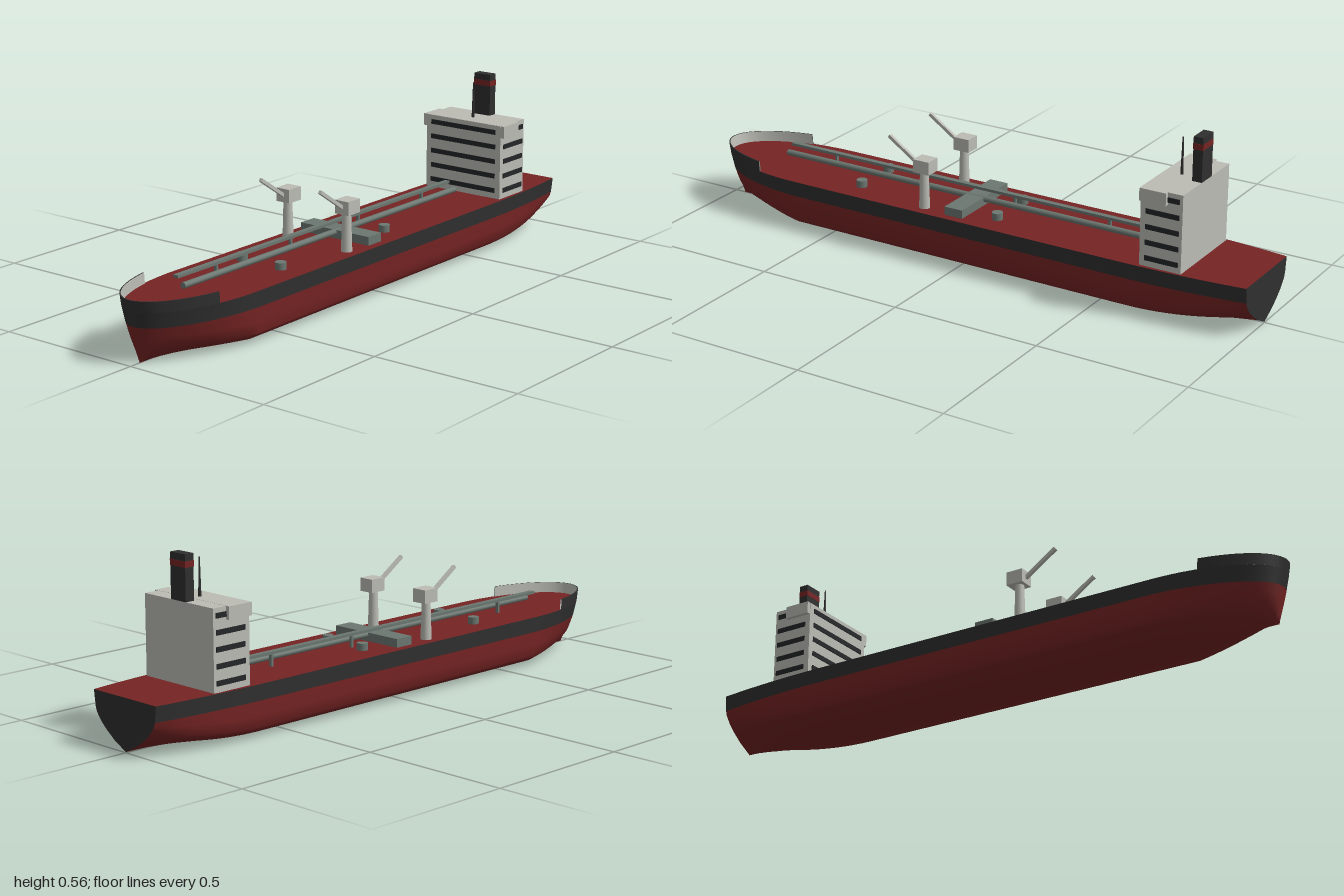
import * as THREE from 'three';
import { toCreasedNormals } from 'three/addons/utils/BufferGeometryUtils.js';

const mat = (name, color, side = THREE.FrontSide) => {
  const m = new THREE.MeshStandardMaterial({ color, side });
  m.name = name;
  return m;
};
const BEAM = 0.165, DECK = 0.165, RAIL = 0.2, BOW = 0.37;
const clamp = (v) => Math.min(1, Math.max(0, v));
const lerp = THREE.MathUtils.lerp;

// Half sections from keel to deck edge, as [half width, height]
const MID = [[0, 0], [0.07, 0.004], [0.135, 0.012], [0.152, 0.022], [0.163, 0.034], [0.165, 0.07], [0.165, 0.115], [0.165, DECK]];
const STERN = [[0, 0.002], [0.05, 0.028], [0.085, 0.053], [0.108, 0.073], [0.122, 0.09], [0.129, 0.1], [0.134, 0.115], [0.14, DECK]];
const STEM = [[0, 0], [0.03, 0.01], [0.06, 0.026], [0.085, 0.044], [0.11, 0.064], [0.13, 0.088], [0.148, 0.115], [0.165, DECK]];

// Raked stem: lower points move aft near the bow
const rake = (s, y) => s + 0.038 * (1 - y / RAIL) * clamp((BOW - 1 - s) / BOW);

function halfSection(s) {
  const bow = clamp((BOW - 1 - s) / BOW);
  const stern = clamp((s - 0.6) / 0.4) ** 2;
  const plan = Math.sqrt(Math.max(0, 1 - bow * bow));
  return MID.map(([w, y], i) => {
    const end = bow > 0 ? STEM[i] : STERN[i];
    const t = bow > 0 ? bow : stern;
    const h = lerp(y, end[1], t);
    return [rake(s, h), h, lerp(w, end[0], t) * plan];
  });
}

// Skin a list of sections, each a row of [x, y, z] points
function loft(sections, crease = 0.7) {
  const n = sections[0].length, index = [];
  for (let i = 0; i < sections.length - 1; i++) {
    for (let j = 0; j < n - 1; j++) {
      const a = i * n + j, b = a + n;
      index.push(a, b, b + 1, a, b + 1, a + 1);
    }
  }
  const g = new THREE.BufferGeometry();
  g.setAttribute('position', new THREE.Float32BufferAttribute(sections.flat(2), 3));
  g.setIndex(index);
  g.computeVertexNormals();
  return toCreasedNormals(g, crease);
}

export function createModel() {
  const red = mat('hull red', 0x752323);
  const dark = mat('charcoal', 0x2f2f2f);
  const darkSheet = mat('charcoal plate', 0x2f2f2f, THREE.DoubleSide);
  const white = mat('off white', 0xbcbcb5);
  const whiteSheet = mat('off white plate', 0xbcbcb5, THREE.DoubleSide);
  const green = mat('deck fitting grey', 0x6c7771);
  const glass = mat('window dark', 0x242628);

  const ship = new THREE.Group();
  ship.name = 'tankerShip';
  const add = (name, geometry, material, x = 0, y = 0, z = 0, parent = ship) => {
    const m = new THREE.Mesh(geometry, material);
    m.name = name;
    m.position.set(x, y, z);
    parent.add(m);
    return m;
  };
  // Box given by its limits on each axis
  const box = (name, material, x0, x1, y0, y1, z0, z1, parent) =>
    add(name, new THREE.BoxGeometry(x1 - x0, y1 - y0, z1 - z0), material,
      (x0 + x1) / 2, (y0 + y1) / 2, (z0 + z1) / 2, parent);

  // Hull stations from bow to stern
  const stations = [];
  for (let i = 0; i <= 20; i++) stations.push(-1 + BOW * (1 - Math.cos((i / 20) * Math.PI / 2)));
  for (let i = 0; i <= 12; i++) stations.push(0.6 + 0.4 * i / 12);
  const halves = stations.map(halfSection);
  const mirror = (p) => p.map(([x, y, z]) => [x, y, -z]).reverse();

  // Red bottom, dark topsides and deck
  add('hullBottom', loft(halves.map((h) => [...mirror(h.slice(1, 7)), ...h.slice(0, 7)])), red);
  add('topsideLeft', loft(halves.map((h) => h.slice(6))), dark);
  add('topsideRight', loft(halves.map((h) => mirror(h.slice(6)))), dark);
  add('deck', loft(halves.map((h) => [h[7], mirror([h[7]])[0]])), red);

  // Flat transom
  const last = halves[halves.length - 1];
  const outline = [...mirror(last.slice(1)), ...last];
  add('transom', loft([outline, outline.map(([x, , z]) => [x, DECK, z])].reverse().map((r) => r.slice().reverse()).reverse()), darkSheet);

  // Bulwark swept round the bow, with a pale inner face
  const outer = [], inner = [], reach = Math.acos(1 - 0.22 / BOW);
  for (let i = 0; i <= 32; i++) {
    const a = lerp(reach, -reach, i / 32);
    const point = (y, inset) => [
      rake(BOW - 1 - BOW * Math.cos(a), y) + inset * Math.cos(a), y, (BEAM - inset) * Math.sin(a)];
    outer.push([point(DECK, 0), point(RAIL, 0), point(RAIL, 0.004)]);
    inner.push([point(RAIL, 0.004), point(DECK, 0.004)]);
  }
  add('bulwark', loft(outer), darkSheet);
  add('bulwarkLining', loft(inner), whiteSheet);

  // Deck pipe and raised catwalk on posts
  const pipe = new THREE.CylinderGeometry(0.01, 0.01, 1.37, 12);
  add('cargoPipe', pipe, green, -0.085, 0.186, 0).rotation.z = Math.PI / 2;
  box('catwalk', green, -0.77, 0.6, 0.204, 0.213, -0.038, -0.019);
  for (const x of [-0.59, -0.24, 0.105, 0.45]) {
    box('catwalkPost', green, x - 0.004, x + 0.004, DECK, 0.212, -0.034, -0.024);
  }

  // Manifold and tank hatches
  box('manifold', green, -0.055, 0.01, DECK, 0.193, -0.137, 0.137);
  for (const x of [-0.415, 0.105]) for (const z of [-0.077, 0.077]) {
    add('tankHatch', new THREE.CylinderGeometry(0.018, 0.018, 0.023, 16), green, x, DECK + 0.0115, z);
  }

  // Pair of deck cranes
  for (const side of [-1, 1]) {
    const crane = new THREE.Group();
    crane.name = side > 0 ? 'craneLeft' : 'craneRight';
    crane.position.set(-0.14, 0, side * 0.118);
    ship.add(crane);
    add('cranePost', new THREE.CylinderGeometry(0.014, 0.018, 0.125, 16), white, -0.003, DECK + 0.0625, 0, crane);
    box('craneCab', white, -0.028, 0.03, 0.288, 0.332, -0.026, 0.026, crane);
    const jib = add('craneJib', new THREE.BoxGeometry(0.155, 0.011, 0.011), white, -0.07, 0.34, 0, crane);
    jib.rotation.z = -Math.atan2(0.08, 0.12);
  }

  // Deckhouse with bridge wings
  box('deckhouse', white, 0.65, 0.79, DECK, 0.418, -0.152, 0.152);
  box('bridgeWings', white, 0.651, 0.74, 0.378, 0.4185, -0.165, 0.165);

  // Window strips on the sides and the forward face
  for (let i = 0; i < 5; i++) {
    const y = 0.193 + i * 0.0505;
    for (const side of [-1, 1]) {
      box('sideWindows', glass, 0.668, 0.78, y - 0.008, y + 0.008, side * 0.153 - 0.002, side * 0.153 + 0.002);
    }
    box('frontWindows', glass, 0.647, 0.653, y - 0.008, y + 0.008, -0.132, 0.132);
  }

  // Funnel with red band, and mast
  box('funnel', dark, 0.758, 0.79, 0.418, 0.56, -0.033, 0.033);
  box('funnelBand', red, 0.757, 0.791, 0.52, 0.539, -0.034, 0.034);
  add('mast', new THREE.CylinderGeometry(0.002, 0.005, 0.12, 10), dark, 0.707, 0.478, 0);

  return ship;
}
